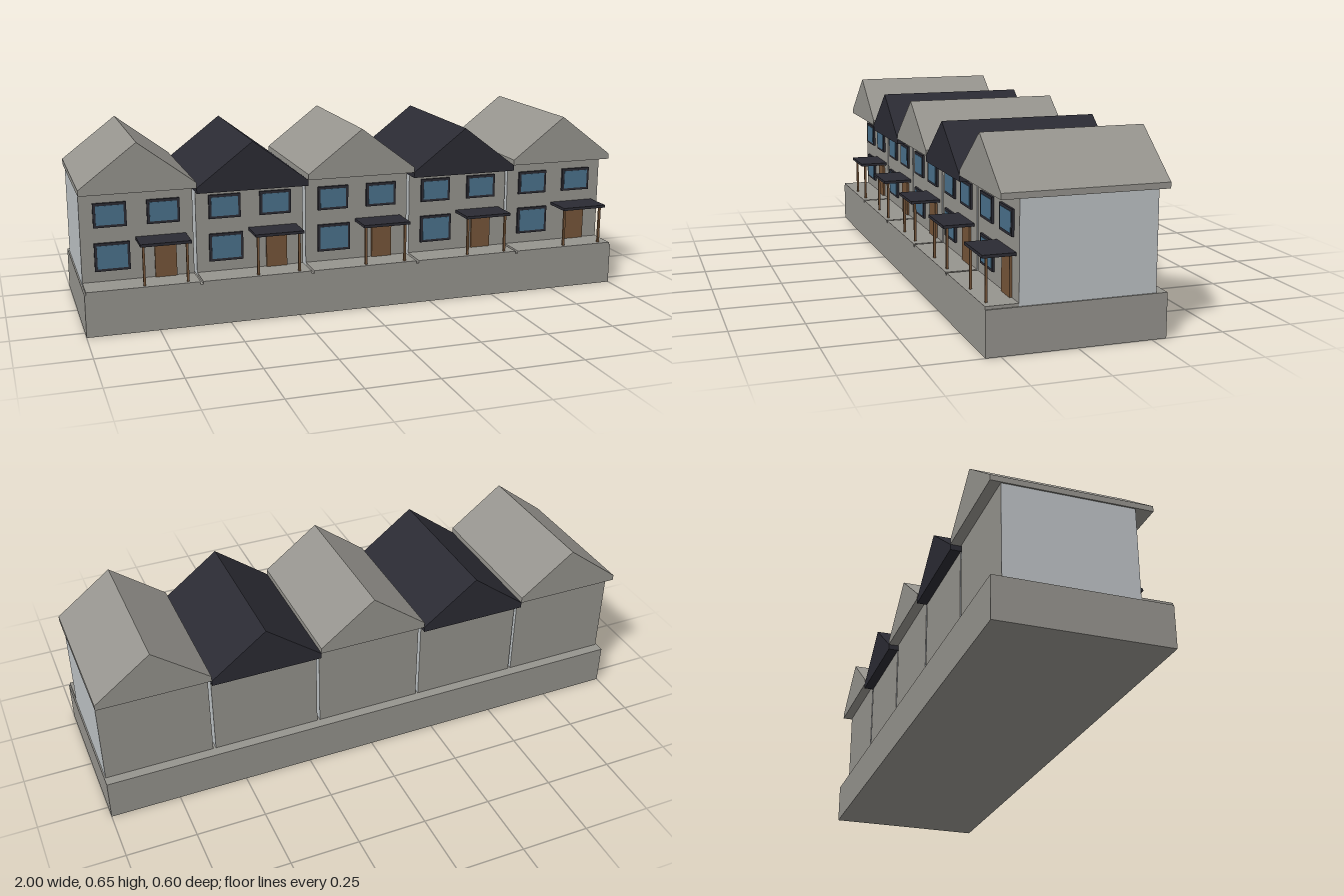
import * as THREE from 'three';

const mat = (name, color) => {
  const m = new THREE.MeshStandardMaterial({ color });
  m.name = name;
  return m;
};

export function createModel() {
  const stone = mat('warm grey stone', 0x96948e);
  const render = mat('pale side wall', 0xbdc2c5);
  const slate = mat('dark slate', 0x2b2b33);
  const glass = mat('window glass', 0x4a718c);
  const wood = mat('brown wood', 0x755539);

  const model = new THREE.Group();
  model.name = 'terraceRow';

  // Box given by its centre in x, and its extents in y and z
  const box = (parent, name, material, x, w, y0, y1, z0, z1) => {
    const mesh = new THREE.Mesh(new THREE.BoxGeometry(w, y1 - y0, z1 - z0), material);
    mesh.position.set(x, (y0 + y1) / 2, (z0 + z1) / 2);
    mesh.name = name;
    parent.add(mesh);
    return mesh;
  };

  const WALL = 0.192; // front wall plane

  // Dark framed window with a thin pane on its face
  const addWindow = (parent, name, x, y, w, h) => {
    const win = new THREE.Group();
    win.name = name;
    box(win, 'frame', slate, x, w, y - h / 2, y + h / 2, WALL, 0.2);
    box(win, 'pane', glass, x, w - 0.018, y - h / 2 + 0.009, y + h / 2 - 0.009, 0.199, 0.2015);
    parent.add(win);
  };

  // Gabled roof with a short vertical eave
  const addRoof = (parent, material, eave) => {
    const s = new THREE.Shape();
    s.moveTo(-0.2, eave);
    s.lineTo(0.2, eave);
    s.lineTo(0.2, eave + 0.02);
    s.lineTo(0, eave + 0.172);
    s.lineTo(-0.2, eave + 0.02);
    s.closePath();
    const geo = new THREE.ExtrudeGeometry(s, { depth: 0.553, bevelEnabled: false });
    geo.translate(0, 0, -0.3);
    const roof = new THREE.Mesh(geo, material);
    roof.name = 'roof';
    parent.add(roof);
  };

  box(model, 'plinth', stone, 0, 2, 0, 0.15, -0.3, 0.3);

  for (let i = 0; i < 5; i++) {
    const dark = i % 2 === 1;
    const eave = dark ? 0.46 : 0.48;
    const house = new THREE.Group();
    house.name = 'house' + (i + 1);
    house.position.x = -0.8 + i * 0.4;
    model.add(house);

    // Walls: pale party sides, stone front and back
    box(house, 'walls', [render, render, stone, stone, stone, stone], 0, 0.39, 0.15, eave, -0.263, WALL);
    addRoof(house, dark ? slate : stone, eave);

    addWindow(house, 'upperRightWindow', -0.092, 0.396, 0.114, 0.086);
    addWindow(house, 'upperLeftWindow', 0.092, 0.396, 0.114, 0.086);
    addWindow(house, 'lowerWindow', -0.089, 0.248, 0.122, 0.1);

    // Porch: step, door, posts and flat canopy
    box(house, 'step', stone, 0, 0.39, 0.15, 0.16, WALL, 0.3);
    box(house, 'door', wood, 0.095, 0.076, 0.16, 0.289, WALL, 0.2);
    for (const side of [-1, 1]) {
      box(house, 'porchPost', wood, 0.08 + side * 0.075, 0.008, 0.16, 0.3, 0.279, 0.287);
    }
    box(house, 'canopy', slate, 0.081, 0.176, 0.3, 0.31, WALL, 0.3);
  }
  return model;
}
